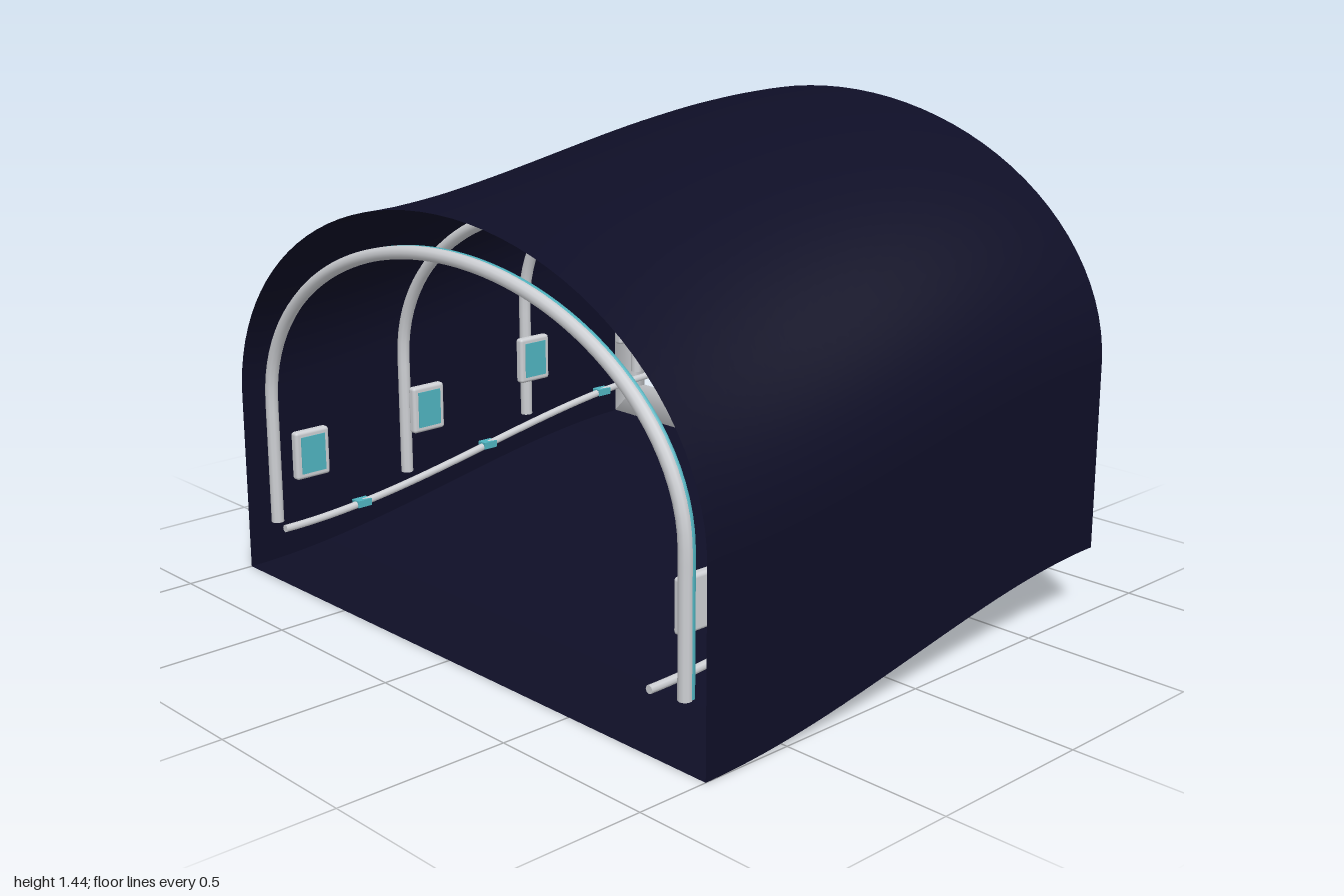
import * as THREE from 'three';
import { RoundedBoxGeometry } from 'three/addons/geometries/RoundedBoxGeometry.js';

const END = 0.785;      // half length of the tunnel
const SPRING = 0.55;    // height where the arch starts

// floor height: a smooth ramp from front (+z) to back (-z)
function ramp(z) {
  const t = THREE.MathUtils.clamp((END - z) / (2 * END), 0, 1);
  return 0.2 * t * t * (3 - 2 * t);
}

// arch outline from right foot over the top to left foot
function arch(halfWidth, foot, top, n = 48) {
  const pts = [];
  for (let i = 0; i < 6; i++) pts.push([-halfWidth, foot + (SPRING - foot) * i / 6]);
  for (let i = 0; i <= n; i++) {
    const a = Math.PI * (1 - i / n);
    pts.push([halfWidth * Math.cos(a), SPRING + (top - SPRING) * Math.sin(a)]);
  }
  for (let i = 5; i >= 0; i--) pts.push([halfWidth, foot + (SPRING - foot) * i / 6]);
  return pts;
}

// surface through equal-length rows of points
function loft(rows, closed = false) {
  const m = rows[0].length, index = [];
  const count = closed ? rows.length : rows.length - 1;
  for (let r = 0; r < count; r++) {
    const s = (r + 1) % rows.length;
    for (let c = 0; c < m - 1; c++) {
      const a = r * m + c, b = s * m + c;
      index.push(a, b, a + 1, b, b + 1, a + 1);
    }
  }
  const g = new THREE.BufferGeometry();
  g.setAttribute('position', new THREE.Float32BufferAttribute(rows.flat(2), 3));
  g.setIndex(index);
  g.computeVertexNormals();
  return g;
}

export function createModel() {
  const model = new THREE.Group();
  model.name = 'tunnelSection';
  const material = (name, color, side = THREE.FrontSide) => {
    const m = new THREE.MeshStandardMaterial({ color, side });
    m.name = name;
    return m;
  };
  const navy = material('darkNavy', 0x0e0e26, THREE.DoubleSide);
  const grey = material('lightGrey', 0xcdcfd3, THREE.DoubleSide);
  const teal = material('teal', 0x4fb3bf);
  const add = (parent, name, geometry, mat, x = 0, y = 0, z = 0) => {
    const mesh = new THREE.Mesh(geometry, mat);
    mesh.name = name;
    mesh.position.set(x, y, z);
    parent.add(mesh);
    return mesh;
  };

  // Thin shell: arched wall and ramped floor
  const stations = Array.from({ length: 33 }, (_, i) => END - 2 * END * i / 32);
  const outline = arch(1, 0, 1.243);
  add(model, 'archedWall', loft(stations.map(z => outline.map(([x, y]) => [x, y + ramp(z), z]))), navy);
  add(model, 'floor', loft(stations.map(z => [-1, 0, 1].map(x => [x, ramp(z), z]))), navy);

  // Softly shaded frame round the back opening
  const section = [[0.002, -0.74], [0.002, -END], [0.055, -END - 0.002], [0.108, -END], [0.108, -0.74]];
  const frameRows = section.map(([inset, z]) => {
    const loop = arch(1 - inset, inset, 1.243 - inset).map(([x, y]) => [x, y + 0.2, z]);
    loop.push([...loop[0]]);
    return loop;
  });
  add(model, 'backFrame', loft(frameRows, true), grey);

  // Ribs with a teal light strip along their rear outer edge
  for (const z of [0.75, 0.26, -0.24, -0.745]) {
    const rib = new THREE.Group();
    rib.name = 'rib';
    rib.position.set(0, ramp(z), z);
    model.add(rib);
    const path = (w, top, dz) => new THREE.CatmullRomCurve3(
      arch(w, 0.17, top, 32).map(([x, y]) => new THREE.Vector3(x, y, dz)));
    add(rib, 'ribTube', new THREE.TubeGeometry(path(0.892, 1.123, 0), 80, 0.019, 10), grey);
    add(rib, 'ribLightStrip', new THREE.TubeGeometry(path(0.903, 1.134, -0.013), 80, 0.008, 6), teal);
    for (const side of [-1, 1]) {
      add(rib, 'ribFoot', new THREE.CylinderGeometry(0.019, 0.019, 0.01, 10), grey, side * 0.892, 0.172, 0);
    }
  }

  for (const side of [-1, 1]) {
    // Handrail following the ramp
    const railPath = new THREE.CatmullRomCurve3(
      stations.map(z => new THREE.Vector3(side * 0.8, ramp(z) + 0.175, z * 0.995)));
    add(model, 'handrail', new THREE.TubeGeometry(railPath, 48, 0.012, 8), grey);
    for (const z of [0.78, -0.78]) {
      const cap = add(model, 'handrailCap', new THREE.CylinderGeometry(0.012, 0.012, 0.006, 8), grey,
        side * 0.8, ramp(z) + 0.175, z);
      cap.rotation.x = Math.PI / 2;
    }
    for (const z of [0.5, 0, -0.5]) {
      add(model, 'handrailClip', new THREE.BoxGeometry(0.034, 0.022, 0.05), teal,
        side * 0.803, ramp(z) + 0.175, z);
    }

    // Wall panels with a teal screen facing inward
    for (const z of [0.66, 0.22, -0.22, -0.66]) {
      const panel = new THREE.Group();
      panel.name = 'wallPanel';
      panel.position.set(side * 0.832, ramp(z) + 0.378, z);
      model.add(panel);
      add(panel, 'panelCase', new RoundedBoxGeometry(0.03, 0.15, 0.12, 3, 0.01), grey);
      add(panel, 'panelScreen', new THREE.BoxGeometry(0.004, 0.115, 0.085), teal, side * -0.0155, 0, 0);
    }
  }
  return model;
}
